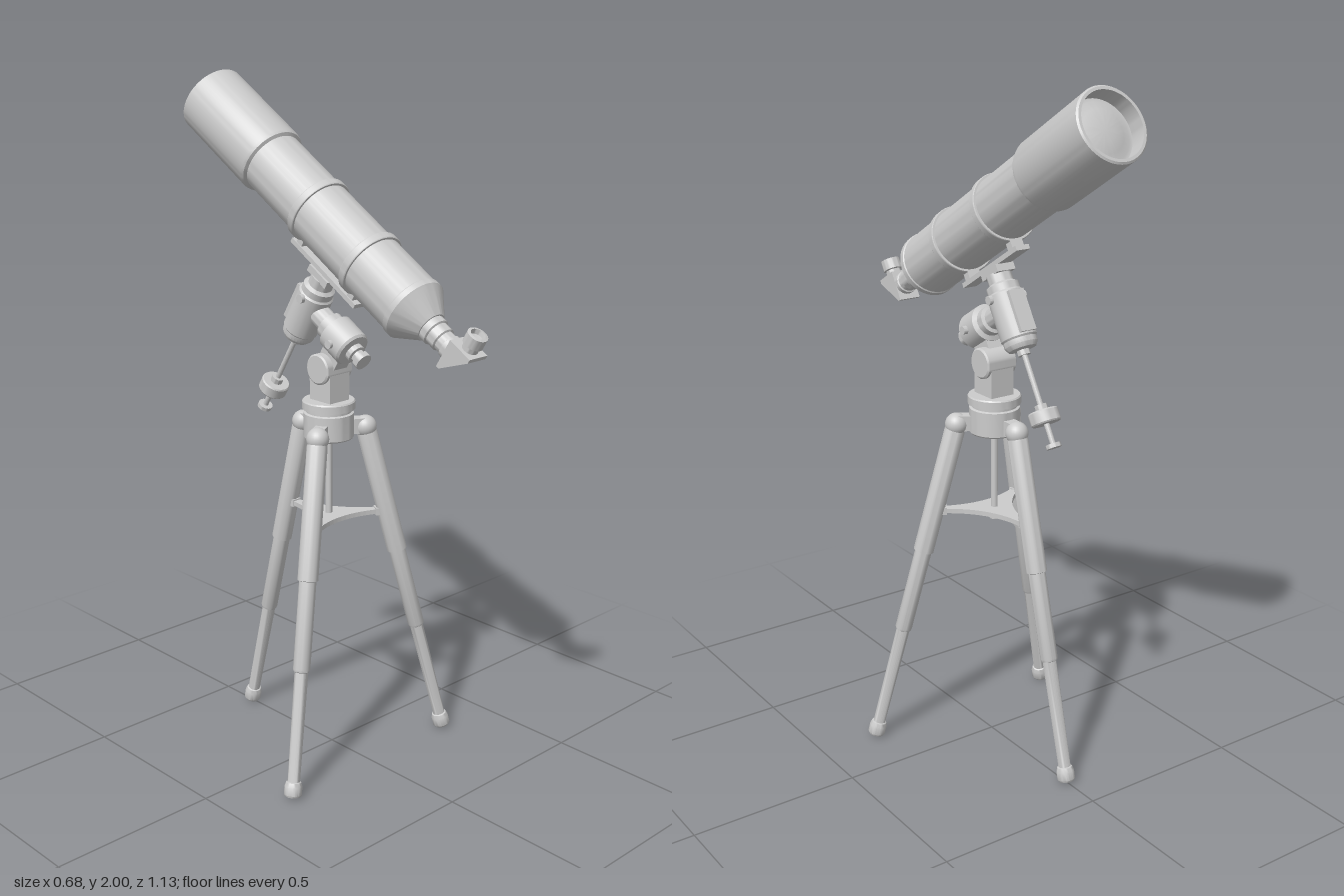
import * as THREE from 'three';
import { toCreasedNormals } from 'three/addons/utils/BufferGeometryUtils.js';

const grey = new THREE.MeshStandardMaterial({ color: 0xcccccc });

function add(parent, name, geometry, x = 0, y = 0, z = 0) {
  const mesh = new THREE.Mesh(geometry, grey);
  mesh.name = name;
  mesh.position.set(x, y, z);
  parent.add(mesh);
  return mesh;
}

// Turned part from [radius, height] pairs, rising along y, or along z / x when asked
function turned(parent, name, pairs, axis = 'y', x = 0, y = 0, z = 0, sides = 32) {
  const lathe = new THREE.LatheGeometry(pairs.map(p => new THREE.Vector2(p[0], p[1])), sides);
  const g = toCreasedNormals(lathe, 0.6);
  if (axis === 'z') g.rotateX(Math.PI / 2);
  if (axis === 'x') g.rotateZ(-Math.PI / 2);
  return add(parent, name, g, x, y, z);
}

const box = (parent, name, w, h, d, x, y, z) => add(parent, name, new THREE.BoxGeometry(w, h, d), x, y, z);

function group(parent, name) {
  const g = new THREE.Group();
  g.name = name;
  parent.add(g);
  return g;
}

// Optics: local z runs from the front lens to the eyepiece, local y is across the tube
function buildOptics(root) {
  const optics = group(root, 'opticalTube');
  turned(optics, 'mainTube', [
    [0, 0.034], [0.03, 0.036], [0.06, 0.041], [0.082, 0.05], [0.092, 0.05], [0.092, 0],
    [0.1, 0], [0.105, 0.004], [0.105, 0.3], [0.102, 0.31], [0.093, 0.315],
    [0.093, 0.955], [0.096, 0.958], [0.096, 0.975], [0.092, 0.98], [0.045, 1.045], [0, 1.045],
  ], 'z', 0, 0, 0, 64);
  turned(optics, 'focuser', [
    [0, 1.04], [0.041, 1.04], [0.041, 1.065], [0.036, 1.068], [0.036, 1.095],
    [0.031, 1.098], [0.031, 1.118], [0.035, 1.12], [0.035, 1.14], [0, 1.14],
  ], 'z');

  // Right-angle prism housing and eyepiece
  const prism = new THREE.Shape([[1.135, -0.05], [1.145, -0.05], [1.215, 0.03], [1.215, 0.042], [1.135, 0.042]]
    .map(p => new THREE.Vector2(p[0], p[1])));
  const housing = new THREE.ExtrudeGeometry(prism, { depth: 0.07, bevelEnabled: false });
  housing.translate(0, 0, -0.035).rotateY(-Math.PI / 2);
  add(optics, 'diagonalHousing', housing);
  turned(optics, 'eyepiece', [
    [0, 0.04], [0.023, 0.04], [0.023, 0.058], [0.029, 0.06], [0.029, 0.092],
    [0.021, 0.094], [0.018, 0.08], [0, 0.078],
  ], 'y', 0, 0, 1.18);

  // Clamp rings with feet, sitting on the mounting bar
  for (const t of [0.535, 0.775]) {
    turned(optics, 'clampRing', [
      [0.09, -0.012], [0.099, -0.012], [0.101, -0.009], [0.101, 0.009], [0.099, 0.012], [0.09, 0.012],
    ], 'z', 0, 0, t, 64);
    box(optics, 'ringFoot', 0.04, 0.035, 0.024, 0, -0.106, t);
  }
  box(optics, 'mountingBar', 0.045, 0.014, 0.3, 0, -0.126, 0.655);
  return optics;
}

// Equatorial head, sharing the tilt of the tube
function buildMount(optics) {
  const mount = group(optics, 'equatorialHead');
  const dec = 0.65, ra = -0.253;
  box(mount, 'saddle', 0.06, 0.022, 0.085, 0, -0.143, dec);
  turned(mount, 'declinationBody', [
    [0, -0.39], [0.018, -0.39], [0.018, -0.375], [0.04, -0.372], [0.048, -0.36], [0.048, -0.345],
    [0.052, -0.34], [0.052, -0.21], [0.047, -0.205], [0.047, -0.185], [0.036, -0.178], [0.036, -0.15], [0, -0.15],
  ], 'y', 0, 0, dec);
  box(mount, 'declinationCover', 0.05, 0.12, 0.025, 0, -0.275, dec - 0.045);
  for (const s of [-1, 1]) {
    turned(mount, 'sideKnob', [[0, -0.062], [0.013, -0.062], [0.013, 0.062], [0, 0.062]], 'x', 0, -0.22, dec, 16);
    turned(mount, 'axisBolt', [[0, -0.01], [0.012, -0.01], [0.012, 0.012], [0, 0.012]], 'x', s * 0.055, ra, 0.81, 16);
  }
  turned(mount, 'counterweightShaft', [[0, -0.65], [0.008, -0.65], [0.008, -0.38], [0, -0.38]], 'y', 0, 0, dec, 16);
  turned(mount, 'counterweight', [
    [0, -0.59], [0.04, -0.59], [0.043, -0.586], [0.043, -0.556], [0.04, -0.552],
    [0.018, -0.552], [0.018, -0.535], [0, -0.535],
  ], 'y', 0, 0, dec);
  turned(mount, 'shaftStop', [[0, -0.66], [0.022, -0.66], [0.022, -0.648], [0, -0.648]], 'y', 0, 0, dec, 24);

  // Polar axis housing and its rear cap
  turned(mount, 'polarAxisBody', [
    [0, 0.69], [0.032, 0.69], [0.032, 0.735], [0.042, 0.738], [0.042, 0.762], [0.055, 0.768],
    [0.055, 0.845], [0.05, 0.852], [0.028, 0.854], [0.028, 0.87], [0.02, 0.872], [0.02, 0.882],
    [0.026, 0.884], [0.026, 0.902], [0, 0.902],
  ], 'z', 0, ra);
}

// Upright with the altitude hinge that carries the head
function buildPedestal(root) {
  const pedestal = group(root, 'pedestal');
  pedestal.position.z = -0.01;
  box(pedestal, 'post', 0.076, 0.12, 0.085, 0, 1.14, 0);
  turned(pedestal, 'altitudeHinge', [[0, -0.05], [0.04, -0.05], [0.045, -0.046], [0.045, 0.046], [0.04, 0.05], [0, 0.05]],
    'x', 0, 1.19, 0);
  const neck = box(pedestal, 'neck', 0.052, 0.1, 0.07, 0, 1.23, 0.027);
  neck.rotation.x = 0.5446;
}

// Tripod: hub, three telescopic legs, centre rod and spreader
function buildTripod(root) {
  const tripod = group(root, 'tripod');
  tripod.position.z = -0.013;
  turned(tripod, 'hub', [
    [0, 0.98], [0.07, 0.98], [0.073, 0.984], [0.073, 1.055], [0.066, 1.058], [0.066, 1.066],
    [0.077, 1.068], [0.077, 1.09], [0.074, 1.094], [0, 1.094],
  ], 'y', 0, 0, 0, 48);
  turned(tripod, 'centreRod', [
    [0, 0.71], [0.014, 0.71], [0.014, 0.73], [0.01, 0.73], [0.01, 0.985], [0, 0.985],
  ], 'y', 0, 0, 0, 16);

  const angles = [Math.PI / 3, Math.PI, -Math.PI / 3];
  for (const angle of angles) {
    const side = group(tripod, 'legAssembly');
    side.rotation.y = angle;
    box(side, 'legBracket', 0.036, 0.045, 0.06, 0, 1.01, 0.08);
    add(side, 'legJoint', new THREE.SphereGeometry(0.033, 24, 16), 0, 1.005, 0.11);
    const leg = turned(side, 'leg', [
      [0, 0], [0.022, 0], [0.026, 0.006], [0.026, 0.03], [0.022, 0.042], [0.018, 0.044], [0.02, 0.362],
      [0.023, 0.364], [0.025, 0.37], [0.025, 0.625], [0.03, 0.627], [0.03, 1.01], [0.024, 1.03], [0, 1.035],
    ], 'y', 0, 0.006, 0.365, 24);
    leg.rotation.x = -Math.atan2(0.255, 1);
    box(side, 'spreaderClip', 0.03, 0.022, 0.03, 0, 0.74, 0.155);
  }

  // Three-armed plate with concave sides
  const plate = new THREE.Shape();
  angles.forEach((a, i) => {
    const tip = s => [Math.sin(a) * 0.165 + s * Math.cos(a) * 0.011, Math.cos(a) * 0.165 - s * Math.sin(a) * 0.011];
    const mid = a - Math.PI / 3;
    if (i === 0) plate.moveTo(...tip(-1));
    else plate.quadraticCurveTo(Math.sin(mid) * 0.016, Math.cos(mid) * 0.016, ...tip(-1));
    plate.lineTo(...tip(1));
    if (i === 2) plate.quadraticCurveTo(0, 0.016, Math.sin(angles[0]) * 0.165 - Math.cos(angles[0]) * 0.011,
      Math.cos(angles[0]) * 0.165 + Math.sin(angles[0]) * 0.011);
  });
  const spreader = new THREE.ExtrudeGeometry(plate, { depth: 0.014, bevelEnabled: false, curveSegments: 16 });
  spreader.rotateX(Math.PI / 2);
  add(tripod, 'spreader', spreader, 0, 0.747, 0);
}

export function createModel() {
  const root = new THREE.Group();
  root.name = 'telescope';
  const optics = buildOptics(root);
  optics.position.set(0, 1.9125, -0.511);
  optics.rotation.x = 0.5446;
  buildMount(optics);
  buildPedestal(root);
  buildTripod(root);
  return root;
}
